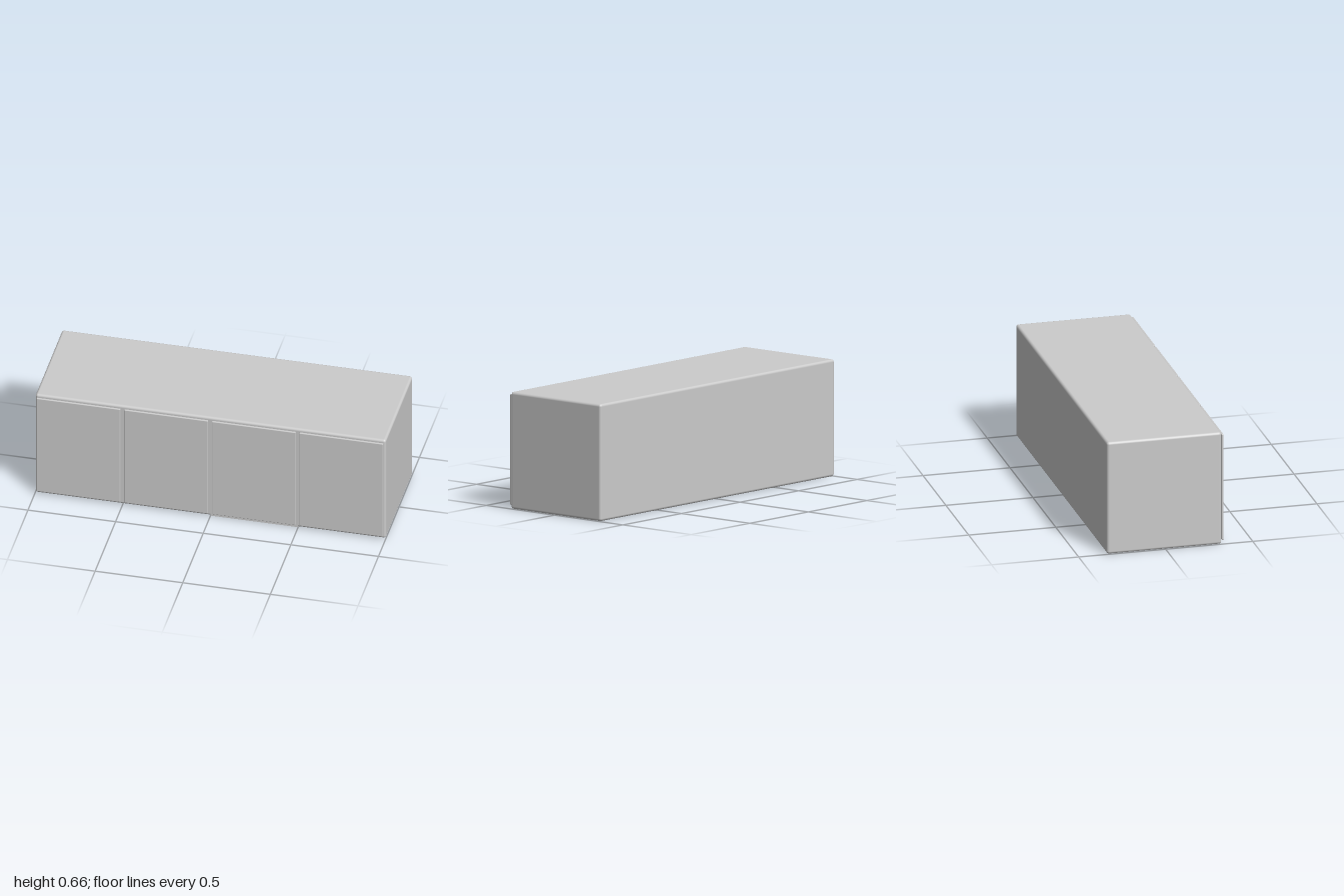
import * as THREE from 'three';
import { RoundedBoxGeometry } from 'three/addons/geometries/RoundedBoxGeometry.js';

const material = new THREE.MeshStandardMaterial({ color: 0xcccccc });

// Rounded block given by its min and max corners
function block(name, [x0, y0, z0], [x1, y1, z1], radius) {
  const size = [x1 - x0, y1 - y0, z1 - z0];
  const geometry = radius
    ? new RoundedBoxGeometry(...size, 2, radius)
    : new THREE.BoxGeometry(...size);
  const mesh = new THREE.Mesh(geometry, material);
  mesh.name = name;
  mesh.position.set((x0 + x1) / 2, (y0 + y1) / 2, (z0 + z1) / 2);
  return mesh;
}

export function createModel() {
  const group = new THREE.Group();
  group.name = 'cabinet';

  // Carcass with softened edges
  group.add(block('carcass', [-1, 0, -0.337], [1, 0.66, 0.322], 0.015));

  // Square-edged lower rail under the third door
  group.add(block('lowerRail', [0, 0, 0.3], [0.5, 0.018, 0.322]));

  // Four door panels, standing just proud of the carcass
  for (let i = 0; i < 4; i++) {
    const left = -0.99 + i * 0.5;
    group.add(block(`door${i + 1}`, [left, 0.02, 0.324], [left + 0.478, 0.644, 0.337], 0.004));
  }
  return group;
}
